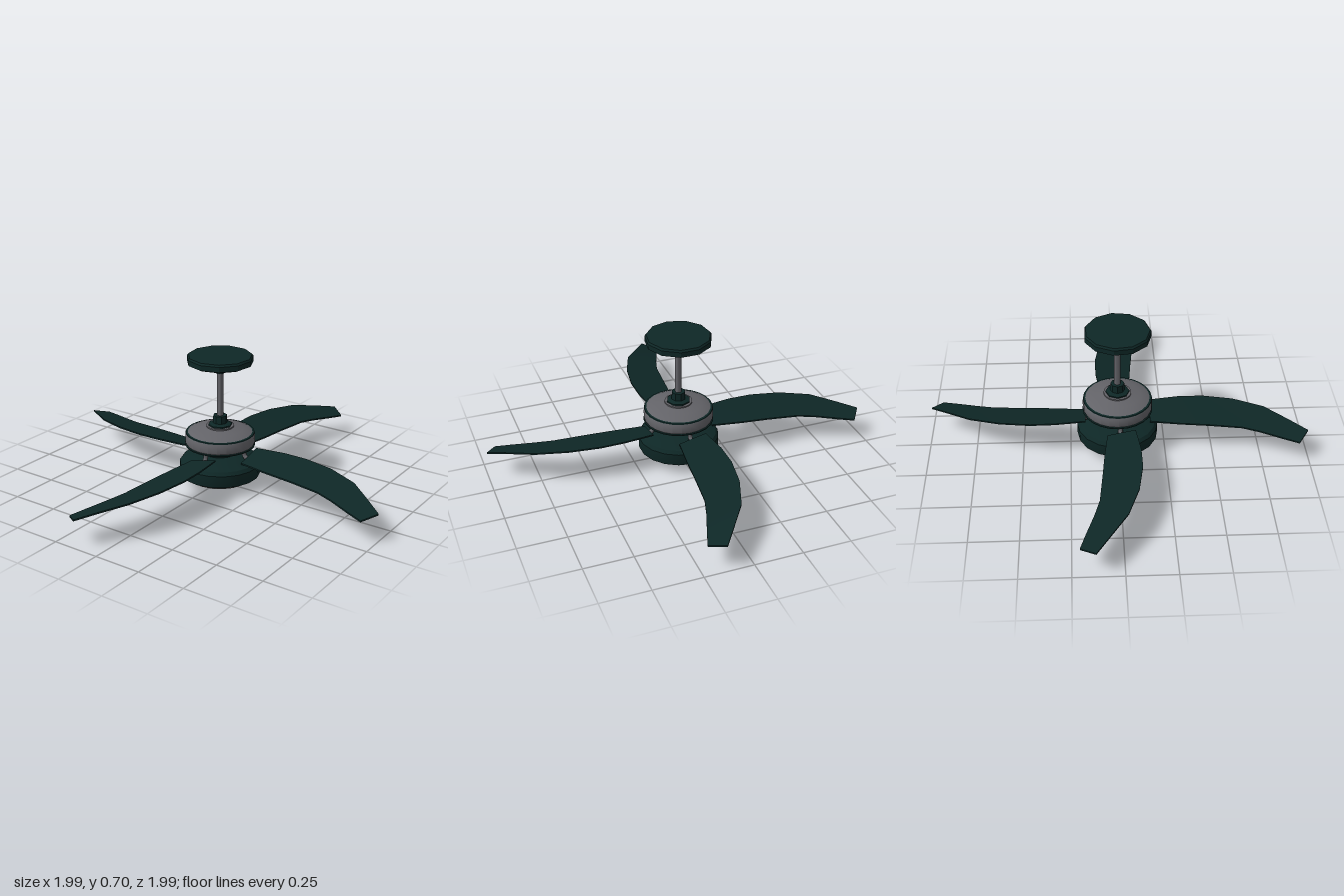
import * as THREE from 'three';
import { toCreasedNormals } from 'three/addons/utils/BufferGeometryUtils.js';

const mat = (name, color) => Object.assign(new THREE.MeshStandardMaterial({ color }), { name });

export function createModel() {
  const green = mat('dark green', 0x0e2726);
  const metal = mat('grey metal', 0x636368);
  const glass = mat('pale glass', 0x9a9a98);
  const fan = new THREE.Group();
  fan.name = 'ceilingFan';

  const add = (name, geometry, material, parent = fan) => {
    const mesh = new THREE.Mesh(geometry, material);
    mesh.name = name;
    parent.add(mesh);
    return mesh;
  };
  // turned part: profile of [radius, y] from bottom to top
  const turned = (name, material, sides, profile) => add(name, toCreasedNormals(
    new THREE.LatheGeometry(profile.map(([r, y]) => new THREE.Vector2(r, y)), sides), 0.55), material);

  // ceiling mount and rod
  turned('canopy', green, 11, [[0, 0.61], [0.022, 0.61], [0.042, 0.642], [0.06, 0.647],
    [0.155, 0.66], [0.172, 0.668], [0.172, 0.695], [0.165, 0.705], [0, 0.705]]);
  turned('downRod', metal, 12, [[0.017, 0.36], [0.017, 0.63]]);
  turned('rodCoupling', green, 8, [[0.062, 0.315], [0.062, 0.332], [0.038, 0.34], [0.036, 0.38], [0, 0.38]]);

  // motor
  turned('motorHousing', metal, 24, [[0, 0.212], [0.165, 0.212], [0.175, 0.222], [0.182, 0.235],
    [0.182, 0.275], [0.176, 0.287], [0.155, 0.298], [0.12, 0.308], [0.072, 0.318], [0.072, 0.325], [0, 0.325]]);
  turned('motorLowerBand', green, 24, [[0.176, 0.216], [0.184, 0.22], [0.184, 0.225], [0.176, 0.228]]);
  turned('motorUpperBand', green, 24, [[0.172, 0.283], [0.181, 0.285], [0.179, 0.289], [0.168, 0.291]]);

  // light kit
  turned('neck', green, 16, [[0.075, 0.15], [0.09, 0.18], [0.105, 0.214]]);
  turned('lightHousing', green, 18, [[0, 0.058], [0.21, 0.058], [0.213, 0.066], [0.213, 0.122],
    [0.2, 0.14], [0.16, 0.155], [0.1, 0.172], [0, 0.172]]);
  turned('lightDish', glass, 18, [[0, 0], [0.05, 0.004], [0.11, 0.014], [0.16, 0.029],
    [0.188, 0.046], [0.194, 0.06]]);

  // blade sections: leading edge x, z, y then trailing edge x, z, y
  const sections = [
    [0.17, -0.088, 0.203, 0.17, 0.058, 0.17],
    [0.33, -0.108, 0.206, 0.33, 0.078, 0.166],
    [0.46, -0.109, 0.205, 0.48, 0.092, 0.163],
    [0.62, -0.083, 0.2, 0.65, 0.11, 0.156],
    [0.78, -0.024, 0.188, 0.74, 0.137, 0.148],
    [0.9, 0.064, 0.166, 0.86, 0.182, 0.134],
    [0.995, 0.135, 0.146, 0.94, 0.21, 0.125]];
  const t = 0.008;
  const rings = sections.map(([lx, lz, ly, tx, tz, ty]) =>
    [[lx, ly, lz], [tx, ty, tz], [tx, ty - t, tz], [lx, ly - t, lz]]);
  const pos = [];
  const quad = (a, b, c, d) => pos.push(...a, ...b, ...c, ...a, ...c, ...d);
  for (let i = 0; i < rings.length - 1; i++) {
    const p = rings[i], q = rings[i + 1];
    for (let k = 0; k < 4; k++) quad(p[k], p[(k + 1) % 4], q[(k + 1) % 4], q[k]);
  }
  quad(...[...rings[0]].reverse());
  quad(...rings[rings.length - 1]);
  let bladeGeo = new THREE.BufferGeometry();
  bladeGeo.setAttribute('position', new THREE.Float32BufferAttribute(pos, 3));
  bladeGeo = toCreasedNormals(bladeGeo, 0.5);

  // bracket: bent arm from the motor to a plate under the blade
  const armGeo = new THREE.TubeGeometry(new THREE.CatmullRomCurve3([
    [0.145, 0.22], [0.146, 0.185], [0.16, 0.171], [0.2, 0.169]
  ].map(([x, y]) => new THREE.Vector3(x, y, -0.01))), 10, 0.012, 8);
  const plateGeo = new THREE.BoxGeometry(0.12, 0.01, 0.045);

  for (let i = 0; i < 4; i++) {
    const unit = new THREE.Group();
    unit.name = 'bladeUnit' + (i + 1);
    unit.rotation.y = i * Math.PI / 2;
    add('blade', bladeGeo, green, unit);
    add('bracketArm', armGeo, metal, unit);
    const plate = add('bracketPlate', plateGeo, metal, unit);
    plate.position.set(0.225, 0.171, -0.01);
    plate.rotation.x = 0.22;
    fan.add(unit);
  }
  return fan;
}
